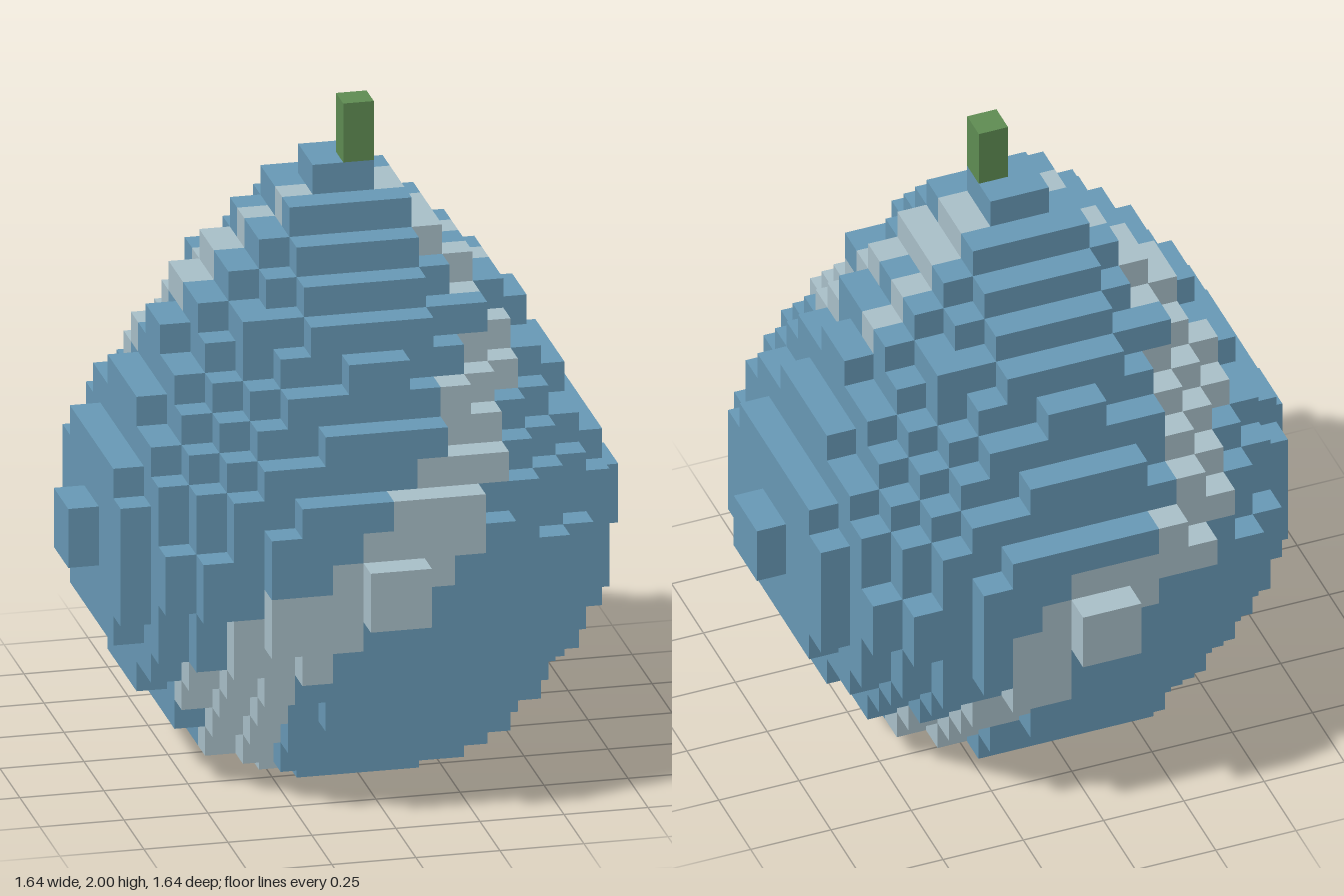
import * as THREE from 'three';
import { mergeGeometries } from 'three/addons/utils/BufferGeometryUtils.js';

const S = 1 / 11; // edge of one cube

// Squared radius of each round layer, bottom to top, in cubes
const RADII = [9, 27, 37, 46, 55.5, 64, 70, 73, 73, 70, 64, 55.5, 46, 38.4, 31.4, 25, 17.6, 10.9, 5.3, 1.4];

// Angular span of the spiral bands on each layer, in degrees from +x towards +z
const FRONT_BAND = [
  [140, 160], [130, 155], [125, 146], [118, 150], [116, 143], [105, 127], [98, 127],
  [84, 117], [77, 103], [70, 96], [70, 88], [60, 78], [55, 67], [36, 67],
  [28, 47], [33, 40], [20, 26], [-13, 33], [-20, 20],
];
// The same for the back band, measured from -x towards -z
const BACK_BAND = [
  [140, 160], [130, 155], [125, 146], [110, 125], [105, 122], [98, 118], [95, 115],
  [84, 110], [77, 103], [62, 96], [50, 74], [48, 64], [30, 60], [20, 55],
  [25, 48], [0, 40], [0, 28], [0, 20], [-20, 0],
];

const filled = (x, y, z) =>
  y >= 0 && y < RADII.length && (x + 0.5) ** 2 + (z + 0.5) ** 2 < RADII[y];

const inBand = (band, x, z) => {
  if (!band) return false;
  const a = THREE.MathUtils.radToDeg(Math.atan2(z, x));
  return [a, a + 360].some((t) => t > band[0] && t < band[1]);
};

const isPale = (x, y, z) =>
  inBand(FRONT_BAND[y], x + 0.5, z + 0.5) ||
  inBand(BACK_BAND[y], -x - 0.5, -z - 0.5) ||
  // short straight spur below the tip
  (z === -1 && (y === 15 || y === 16) && x === 19 - y);

// Outward unit faces of a cube
const SIDES = [[1, 0, 0], [-1, 0, 0], [0, 1, 0], [0, -1, 0], [0, 0, 1], [0, 0, -1]].map((d) => {
  const dir = new THREE.Vector3(...d);
  const turn = new THREE.Quaternion().setFromUnitVectors(new THREE.Vector3(0, 0, 1), dir);
  if (d[2] === -1) turn.setFromAxisAngle(new THREE.Vector3(0, 1, 0), Math.PI);
  const face = new THREE.PlaneGeometry(S, S).applyQuaternion(turn);
  face.translate(d[0] * S / 2, d[1] * S / 2, d[2] * S / 2);
  return { d, face };
});

export function createModel() {
  const group = new THREE.Group();
  group.name = 'dropOrnament';
  const material = (name, color) => new THREE.MeshStandardMaterial({ name, color });
  const blue = material('blue', 0x6899b6);
  const pale = material('paleBlue', 0xa9c0c9);
  const green = material('green', 0x5f8d53);

  // Visible cube faces of the drop, sorted by colour
  const blueFaces = [];
  const paleFaces = [];
  for (let y = 0; y < RADII.length; y++) {
    for (let x = -9; x < 9; x++) {
      for (let z = -9; z < 9; z++) {
        if (!filled(x, y, z)) continue;
        const list = isPale(x, y, z) ? paleFaces : blueFaces;
        for (const { d, face } of SIDES) {
          if (filled(x + d[0], y + d[1], z + d[2])) continue;
          list.push(face.clone().translate((x + 0.5) * S, (y + 0.5) * S, (z + 0.5) * S));
        }
      }
    }
  }

  const add = (name, geometry, mat) => {
    const mesh = new THREE.Mesh(geometry, mat);
    mesh.name = name;
    group.add(mesh);
    return mesh;
  };
  add('body', mergeGeometries(blueFaces), blue);
  add('spiralBands', mergeGeometries(paleFaces), pale);

  // Stem, one cube wide and two high
  add('stem', new THREE.BoxGeometry(S, 2 * S, S), green).position.set(S / 2, 21 * S, S / 2);

  return group;
}
